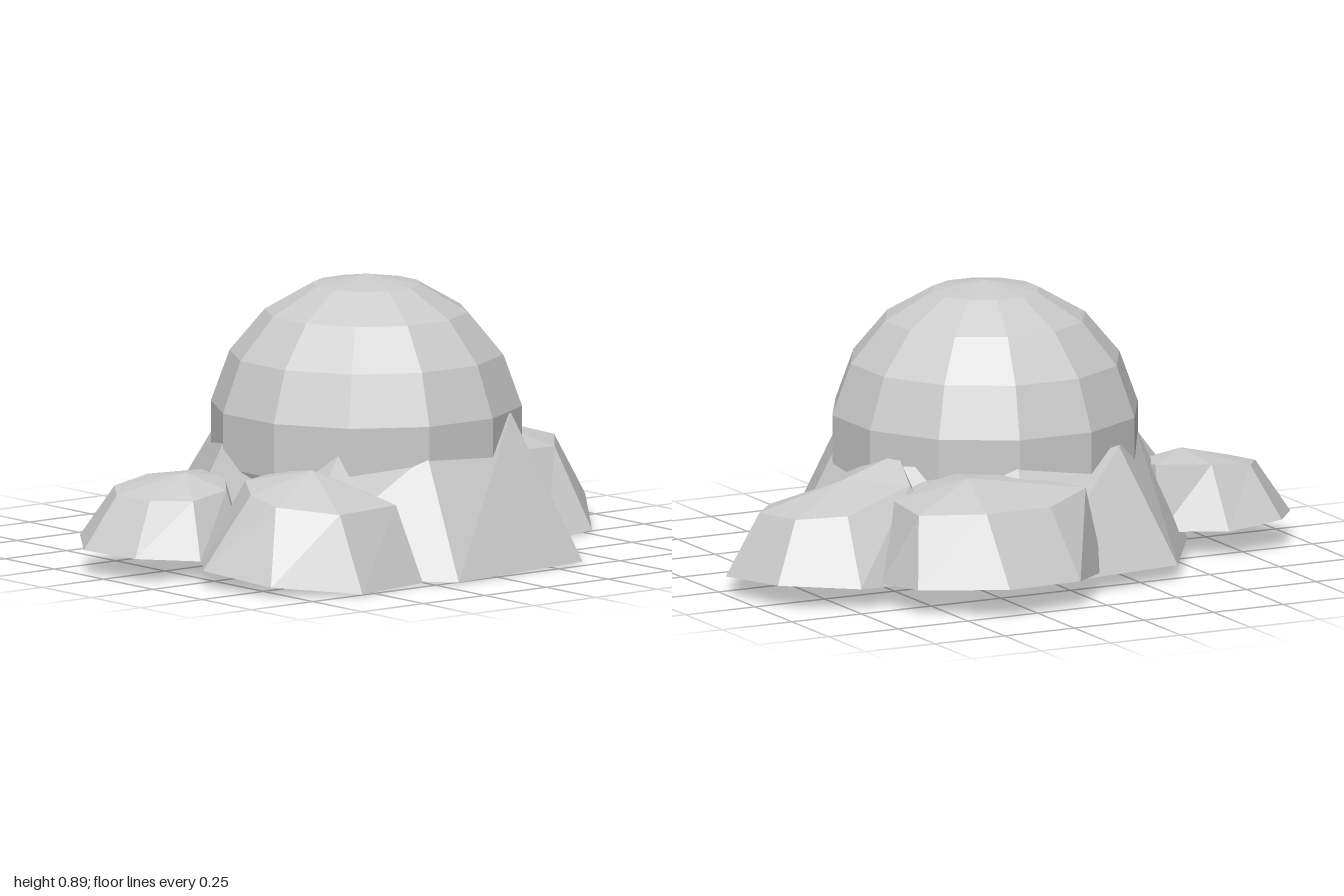
import * as THREE from 'three';

const material = new THREE.MeshStandardMaterial({ color: 0xcccccc, flatShading: true });

// Faceted boulder: a foot ring, a shoulder ring, a peak and a closed underside.
// Rings run from +x towards +z, each point is [x, y, z].
function boulder(name, foot, shoulder, peak) {
  const n = foot.length;
  const under = [0, 1, 2].map(k => foot.reduce((sum, p) => sum + p[k], 0) / n);
  const positions = [];
  const tri = (a, b, c) => positions.push(...a, ...b, ...c);
  for (let i = 0; i < n; i++) {
    const j = (i + 1) % n;
    tri(foot[i], shoulder[i], foot[j]);
    tri(foot[j], shoulder[i], shoulder[j]);
    tri(shoulder[i], peak, shoulder[j]);
    tri(foot[i], foot[j], under);
  }
  const geometry = new THREE.BufferGeometry();
  geometry.setAttribute('position', new THREE.Float32BufferAttribute(positions, 3));
  geometry.computeVertexNormals();
  const mesh = new THREE.Mesh(geometry, material);
  mesh.name = name;
  return mesh;
}

export function createModel() {
  const group = new THREE.Group();
  group.name = 'domeOnRocks';

  // Twelve-sided dome, sunk into the central rock
  const domeGeometry = new THREE.SphereGeometry(0.505, 12, 6, 0, Math.PI * 2, 0, Math.PI * 2 / 3);
  domeGeometry.rotateY(Math.PI / 12);
  const dome = new THREE.Mesh(domeGeometry, material);
  dome.name = 'dome';
  dome.position.set(-0.01, 0.393, 0.1);
  group.add(dome);

  // Central rock that holds the dome
  group.add(boulder('centralRock',
    [[0.63, 0.01, 0.29], [0.38, 0.01, 0.71], [-0.18, 0.01, 0.78], [-0.6, 0.02, 0.4],
      [-0.62, 0.04, -0.12], [-0.38, 0.05, -0.51], [0.2, 0.06, -0.62], [0.58, 0.05, -0.2]],
    [[0.46, 0.35, 0.25], [0.25, 0.475, 0.51], [-0.14, 0.39, 0.57], [-0.37, 0.41, 0.42],
      [-0.48, 0.4, -0.03], [-0.27, 0.41, -0.32], [0.12, 0.4, -0.37], [0.42, 0.38, -0.15]],
    [0, 0.42, 0.1]));

  // Small rock on the right
  group.add(boulder('rightRock',
    [[-0.46, 0.07, 0.02], [-0.56, 0.07, 0.17], [-0.79, 0.07, 0.23], [-0.96, 0.08, 0.11],
      [-1, 0.085, -0.1], [-0.88, 0.1, -0.27], [-0.67, 0.09, -0.31], [-0.5, 0.08, -0.17]],
    [[-0.49, 0.28, -0.02], [-0.58, 0.26, 0.1], [-0.74, 0.245, 0.13], [-0.86, 0.25, 0.06],
      [-0.89, 0.255, -0.07], [-0.82, 0.265, -0.17], [-0.67, 0.285, -0.19], [-0.5, 0.29, -0.13]],
    [-0.65, 0.31, -0.02]));

  // Rock at the front right
  group.add(boulder('frontRightRock',
    [[-0.2, 0.01, 0.45], [-0.27, 0.01, 0.71], [-0.56, 0.01, 0.765], [-0.8, 0.035, 0.6],
      [-0.86, 0.06, 0.33], [-0.72, 0.06, 0.15], [-0.45, 0.05, 0.1], [-0.25, 0.03, 0.2]],
    [[-0.28, 0.26, 0.48], [-0.3, 0.25, 0.61], [-0.56, 0.25, 0.65], [-0.7, 0.27, 0.5],
      [-0.69, 0.29, 0.36], [-0.6, 0.31, 0.22], [-0.45, 0.32, 0.2], [-0.32, 0.3, 0.3]],
    [-0.48, 0.355, 0.41]));

  // Large rock on the left
  group.add(boulder('leftRock',
    [[1, 0.065, -0.05], [0.78, 0.01, 0.26], [0.55, 0.005, 0.32], [0.3, 0.02, 0.2],
      [0.2, 0.03, -0.1], [0.35, 0.05, -0.38], [0.73, 0.075, -0.46], [0.95, 0.08, -0.31]],
    [[0.89, 0.265, -0.07], [0.78, 0.255, 0.07], [0.57, 0.27, 0.13], [0.42, 0.35, 0.1],
      [0.4, 0.41, -0.08], [0.46, 0.35, -0.28], [0.71, 0.285, -0.33], [0.85, 0.27, -0.24]],
    [0.6, 0.35, -0.1]));

  // Rock at the back
  group.add(boulder('backRock',
    [[0.64, 0.08, -0.43], [0.5, 0.05, -0.2], [0.25, 0.05, -0.1], [0, 0.05, -0.2],
      [-0.11, 0.06, -0.52], [0.09, 0.09, -0.74], [0.37, 0.1, -0.79], [0.61, 0.09, -0.62]],
    [[0.53, 0.31, -0.3], [0.42, 0.33, -0.22], [0.27, 0.36, -0.18], [0.1, 0.36, -0.3],
      [-0.06, 0.33, -0.49], [0.13, 0.31, -0.61], [0.38, 0.32, -0.65], [0.56, 0.31, -0.53]],
    [0.32, 0.385, -0.41]));

  return group;
}
